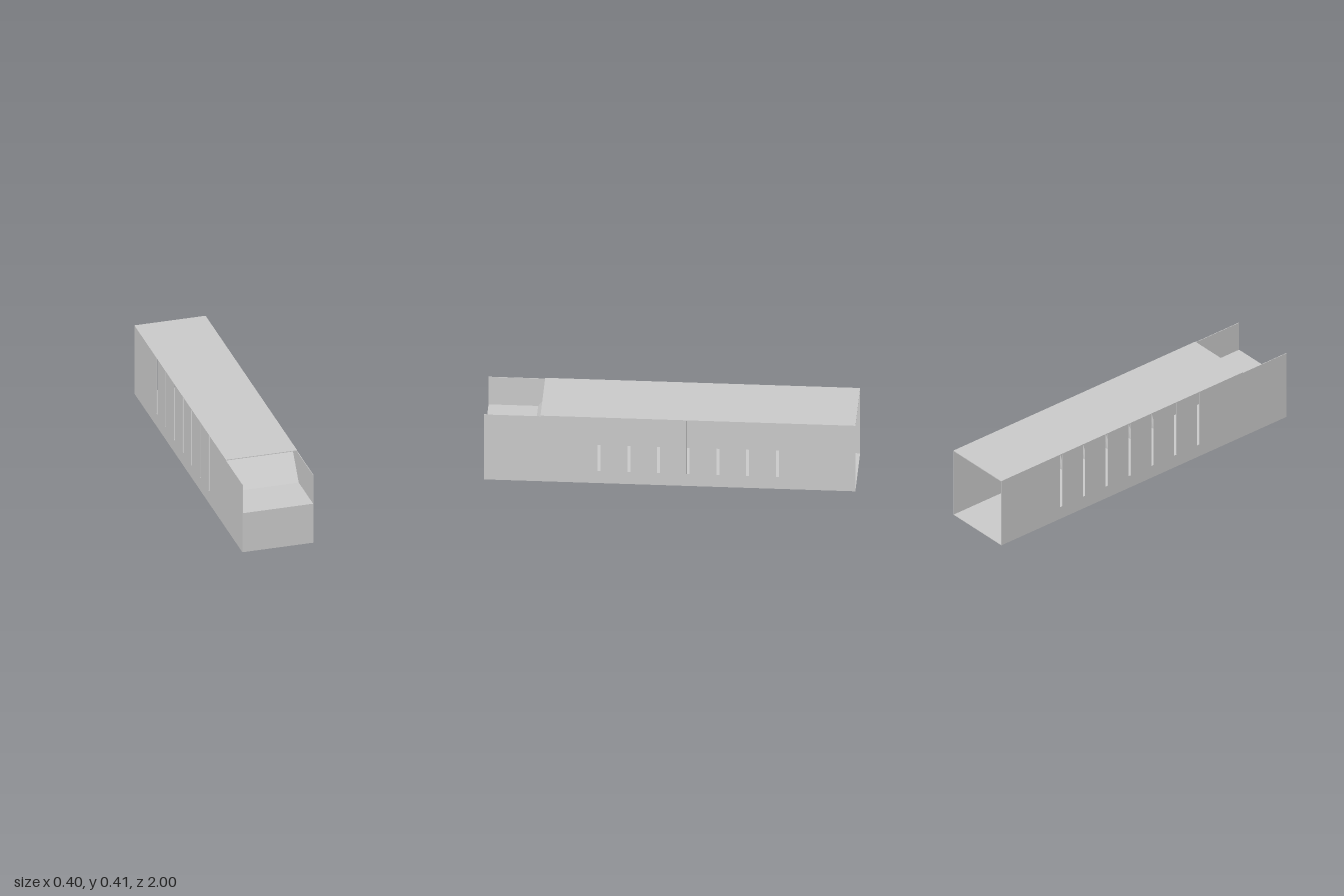
import * as THREE from 'three';

const W = 0.4, L = 2, WALL_H = 0.405, T = 0.003, ROOF_T = 0.004;
const DECK_Y = 0.234, DECK_Z = 0.733, ROOF_FRONT = 0.695;
const SLOT_W = 0.016, SLOT_BASE = 0.075, GUSSET = 0.035;
const SLOTS = Array.from({ length: 7 }, (_, i) => -0.58 + i * 0.16);

const material = new THREE.MeshStandardMaterial({ color: 0xcccccc, flatShading: true, side: THREE.DoubleSide });

function add(parent, name, geometry, x = 0, y = 0, z = 0) {
  const mesh = new THREE.Mesh(geometry, material);
  mesh.name = name;
  mesh.position.set(x, y, z);
  parent.add(mesh);
  return mesh;
}

// Extrudes an outline given as [z, y] points across the x axis, from x0 to x1
function extrudeAcross(points, x0, x1) {
  const shape = new THREE.Shape(points.map(([z, y]) => new THREE.Vector2(z, y)));
  const geometry = new THREE.ExtrudeGeometry(shape, { depth: x1 - x0, bevelEnabled: false });
  return geometry.rotateY(-Math.PI / 2).translate(x1, 0, 0);
}

// Side wall outline with slots open at the top edge
function wallOutline() {
  const points = [[-L / 2, 0], [L / 2, 0], [L / 2, WALL_H]];
  for (const z of [...SLOTS].reverse()) {
    const a = z + SLOT_W / 2, b = z - SLOT_W / 2;
    points.push([a, WALL_H], [a, SLOT_BASE], [b, SLOT_BASE], [b, WALL_H]);
  }
  points.push([-L / 2, WALL_H]);
  return points;
}

export function createModel() {
  const group = new THREE.Group();
  group.name = 'slottedChannel';

  // Floor and roof; the roof stops short of the front
  add(group, 'floor', new THREE.BoxGeometry(W - 2 * T, T, L), 0, T / 2, 0);
  const roofLength = ROOF_FRONT + L / 2;
  add(group, 'roof', new THREE.BoxGeometry(W, ROOF_T, roofLength), 0, WALL_H + ROOF_T / 2, ROOF_FRONT - roofLength / 2);

  for (const side of [1, -1]) {
    const name = side > 0 ? 'left' : 'right';
    // Slotted side wall
    const x0 = side > 0 ? W / 2 - T : -W / 2;
    add(group, name + 'Wall', extrudeAcross(wallOutline(), x0, x0 + T));

    // Small triangular gussets inside, below each slot
    const inner = side * (W / 2 - T);
    const triangle = new THREE.Shape([
      new THREE.Vector2(inner, T),
      new THREE.Vector2(inner, SLOT_BASE),
      new THREE.Vector2(inner - side * GUSSET, T),
    ]);
    const gusset = new THREE.ExtrudeGeometry(triangle, { depth: SLOT_W, bevelEnabled: false });
    for (const z of SLOTS) add(group, name + 'Gusset', gusset, 0, 0, z - SLOT_W / 2);
  }

  // Front panel, raised deck and ramp folded from one sheet
  const half = W / 2 - T;
  add(group, 'frontPanel', new THREE.BoxGeometry(W, DECK_Y, T), 0, DECK_Y / 2, L / 2 - T / 2);
  add(group, 'frontDeck', new THREE.BoxGeometry(2 * half, T, L / 2 - DECK_Z), 0, DECK_Y - T / 2, (L / 2 + DECK_Z) / 2);
  const rampTop = 0.60;
  add(group, 'ramp', extrudeAcross([
    [DECK_Z, DECK_Y], [rampTop, WALL_H], [rampTop - 0.004, WALL_H], [DECK_Z - 0.002, DECK_Y - T],
  ], -half, half));

  return group;
}
